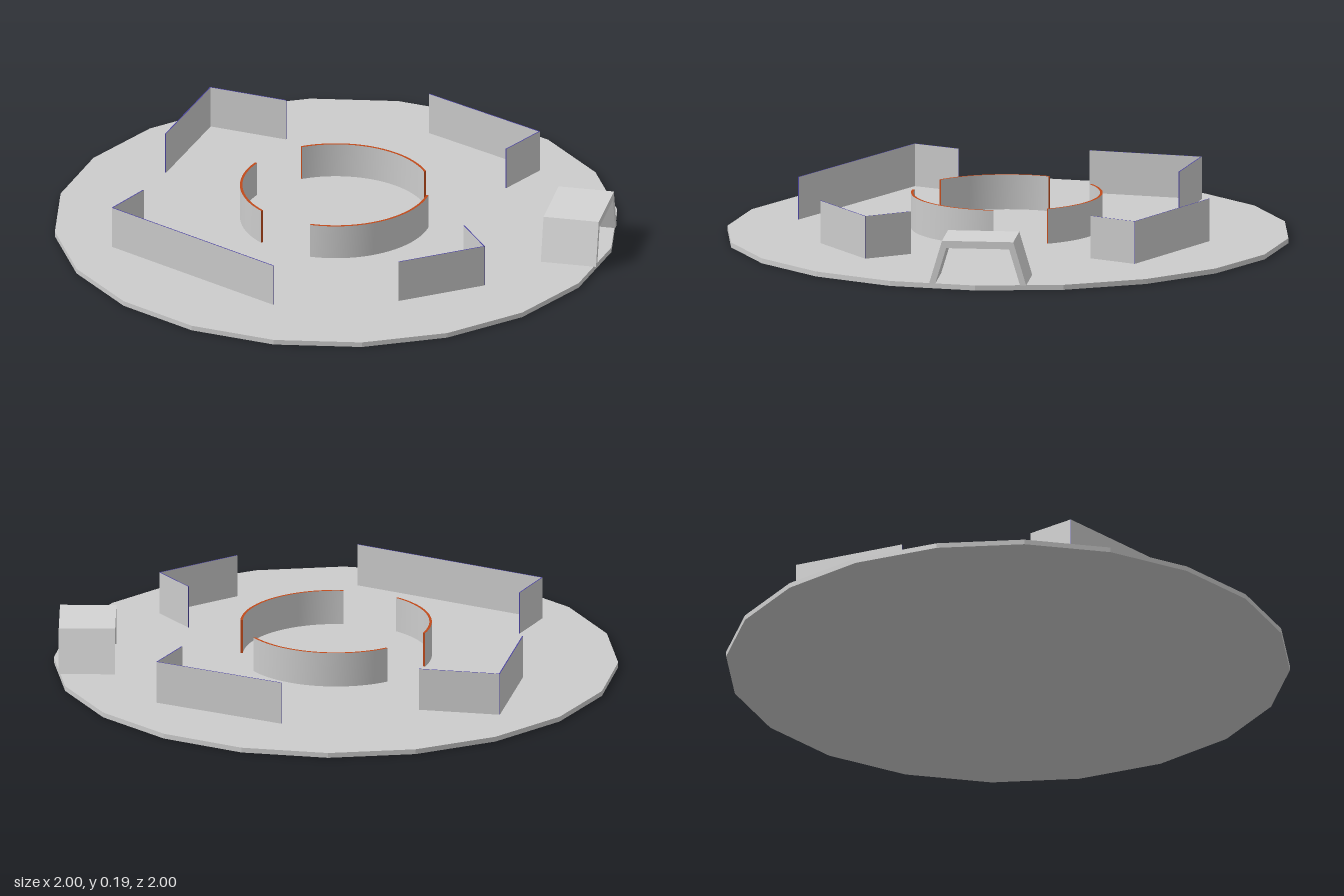
import * as THREE from 'three';

export function createModel() {
  const model = new THREE.Group();
  const mat = (name, color) => new THREE.MeshStandardMaterial({ name, color });
  const grey = mat('grey', 0xcccccc);
  const paleGrey = mat('paleGrey', 0xd4d4d4);
  const orange = mat('orangeRim', 0xc04a1a);
  const violet = mat('violetRim', 0x4a42a0);

  const add = (name, geometry, material) => {
    const mesh = new THREE.Mesh(geometry, material);
    mesh.name = name;
    model.add(mesh);
    return mesh;
  };
  // Panels have grey broad sides and a coloured thin rim all round
  const panelMaterials = (rim) => [rim, rim, rim, rim, grey, grey];

  // Twenty-sided floor disc
  const DISC = 0.018;
  const discGeometry = new THREE.CylinderGeometry(1, 1, DISC, 20).toNonIndexed();
  discGeometry.computeVertexNormals();
  const disc = add('floorDisc', discGeometry, grey);
  disc.position.y = DISC / 2;
  disc.rotation.y = -0.01;

  // Outer cornered walls, each a path of three plan points [x, z]
  const BASE = 0.035, WALL_TOP = 0.188;
  const walls = [
    [[-0.665, -0.22], [-0.59, -0.625], [-0.305, -0.577]],
    [[0.18, -0.735], [0.625, -0.518], [0.54, -0.353]],
    [[-0.645, 0.245], [-0.722, 0.41], [-0.063, 0.753]],
    [[0.527, 0.29], [0.632, 0.44], [0.362, 0.628]],
  ];
  walls.forEach((path, n) => {
    for (let i = 0; i < 2; i++) {
      const [x0, z0] = path[i], [x1, z1] = path[i + 1];
      const length = Math.hypot(x1 - x0, z1 - z0);
      const wall = add(`outerWall${n + 1}${'ab'[i]}`,
        new THREE.BoxGeometry(length, WALL_TOP - BASE, 0.004), panelMaterials(violet));
      wall.position.set((x0 + x1) / 2, (BASE + WALL_TOP) / 2, (z0 + z1) / 2);
      wall.rotation.y = -Math.atan2(z1 - z0, x1 - x0);
    }
  });

  // Inner ring of three curved walls: boxes bent around the centre
  const ARC_TOP = 0.16, RADIUS = 0.335;
  const arcs = [[2, 93.5], [129, 200.5], [236.5, 328.5]];
  arcs.forEach(([from, to], n) => {
    const geometry = new THREE.BoxGeometry(1, ARC_TOP - BASE, 0.009, 32, 1, 1);
    const p = geometry.attributes.position;
    for (let i = 0; i < p.count; i++) {
      const a = THREE.MathUtils.degToRad(from + (p.getX(i) + 0.5) * (to - from));
      const r = RADIUS - p.getZ(i);
      p.setXYZ(i, Math.cos(a) * r, p.getY(i), Math.sin(a) * r);
    }
    geometry.computeVertexNormals();
    const arc = add(`innerArcWall${n + 1}`, geometry, panelMaterials(orange));
    arc.position.set(0, (BASE + ARC_TOP) / 2, 0.004);
  });

  // Sloping-sided arch at the edge of the disc
  const profile = new THREE.Shape([
    [-0.173, 0], [-0.127, 0.155], [0.127, 0.155], [0.173, 0],
    [0.151, 0], [0.112, 0.129], [-0.112, 0.129], [-0.151, 0],
  ].map(([x, y]) => new THREE.Vector2(x, y)));
  const arch = add('gateArch',
    new THREE.ExtrudeGeometry(profile, { depth: 0.2, bevelEnabled: false }), paleGrey);
  arch.rotation.y = Math.PI / 2;
  arch.position.set(0.78, DISC, 0.003);

  return model;
}
